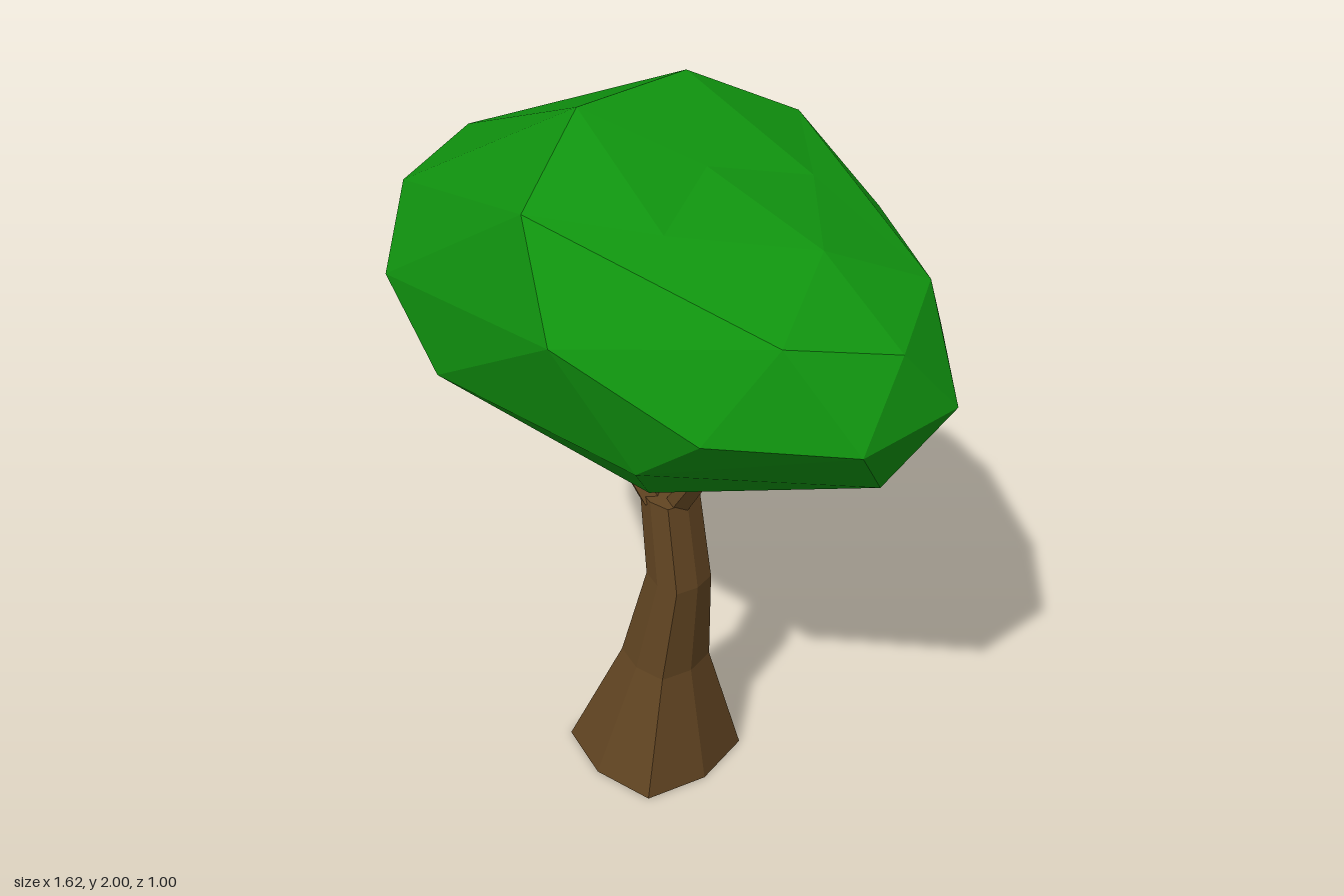
import * as THREE from 'three';
import { ConvexGeometry } from 'three/addons/geometries/ConvexGeometry.js';

const bark = new THREE.MeshStandardMaterial({ color: 0x624522, flatShading: true });
bark.name = 'bark brown';
const leaf = new THREE.MeshStandardMaterial({ color: 0x10930f, flatShading: true });
leaf.name = 'leaf green';

// Skin a stack of equal-sized rings (listed bottom to top, counter-clockwise from above) and cap both ends
function loft(rings) {
  const n = rings[0].length, pos = [], index = [];
  rings.forEach(r => r.forEach(p => pos.push(p.x, p.y, p.z)));
  for (let j = 0; j < rings.length - 1; j++) {
    for (let i = 0; i < n; i++) {
      const a = j * n + i, b = j * n + (i + 1) % n;
      index.push(a, b, b + n, a, b + n, a + n);
    }
  }
  const top = (rings.length - 1) * n;
  for (let i = 1; i < n - 1; i++) index.push(0, i + 1, i, top, top + i, top + i + 1);
  const g = new THREE.BufferGeometry();
  g.setAttribute('position', new THREE.Float32BufferAttribute(pos, 3));
  g.setIndex(index);
  const flat = g.toNonIndexed();
  flat.computeVertexNormals();
  return flat;
}

// Horizontal ring; every second corner is pushed out by bulge
function ring(x, y, z, r, sides, bulge = 1) {
  return Array.from({ length: sides }, (_, i) => {
    const a = i / sides * Math.PI * 2, q = i % 2 ? r * bulge : r;
    return new THREE.Vector3(x + q * Math.cos(a), y, z - q * Math.sin(a));
  });
}

function addMesh(group, name, geometry, material) {
  const mesh = new THREE.Mesh(geometry, material);
  mesh.name = name;
  group.add(mesh);
}

function canopyGeometry() {
  // x, y, z, temporary lift that keeps the shallow dip on the hull
  const half = [
    // ridge over the crown
    [-0.08, 2.0, 0.16], [0.04, 1.87, 0.41], [0.235, 1.665, 0.5],
    // left lobe
    [-0.74, 1.69, 0], [-0.65, 1.65, 0.265], [-0.81, 1.48, 0.155],
    [-0.545, 1.48, 0.405], [-0.77, 1.31, 0], [-0.61, 1.27, 0.25], [-0.31, 1.31, 0.43],
    // right lobe
    [0.17, 1.9, 0, 0.06], [0.28, 1.85, 0.22, 0.05], [0.53, 1.84, 0], [0.64, 1.74, 0.22],
    [0.77, 1.7, 0], [0.36, 1.69, 0.39], [0.81, 1.53, 0.145], [0.565, 1.53, 0.37],
    [0.74, 1.35, 0], [0.36, 1.35, 0.37],
    // underside
    [-0.5, 1.15, 0], [-0.18, 1.16, 0.26], [0.13, 1.06, 0.135],
  ];
  const points = [], lifts = [];
  for (const [x, y, z, lift = 0] of half) {
    for (const s of z ? [1, -1] : [1]) {
      const p = new THREE.Vector3(x, y + lift, z * s);
      points.push(p);
      if (lift) lifts.push([p, lift]);
    }
  }
  const g = new ConvexGeometry(points);
  const pos = g.attributes.position, v = new THREE.Vector3();
  for (let i = 0; i < pos.count; i++) {
    v.fromBufferAttribute(pos, i);
    const hit = lifts.find(([p]) => p.distanceTo(v) < 1e-4);
    if (hit) pos.setY(i, v.y - hit[1]);
  }
  g.computeVertexNormals();
  return g;
}

export function createModel() {
  const tree = new THREE.Group();
  tree.name = 'tree';

  // Bent trunk: x, y, radius
  const sections = [[-0.042, 0, 0.215], [0.003, 0.365, 0.106], [0.055, 0.67, 0.075], [0.018, 0.92, 0.068]];
  addMesh(tree, 'trunk', loft(sections.map(([x, y, r]) => ring(x, y, -0.032, r, 8, 1.14))), bark);

  // Three branches: base and tip
  const branches = [
    ['leftBranch', [0.05, 0.9, -0.03], [0.28, 1.25, -0.01]],
    ['rightBranch', [-0.012, 0.9, 0.0], [-0.25, 1.25, 0.08]],
    ['backBranch', [-0.005, 0.9, -0.065], [-0.17, 1.27, -0.27]],
  ];
  for (const [name, base, tip] of branches) {
    addMesh(tree, name, loft([ring(...base, 0.038, 5), ring(...tip, 0.026, 5)]), bark);
  }

  addMesh(tree, 'canopy', canopyGeometry(), leaf);
  return tree;
}
